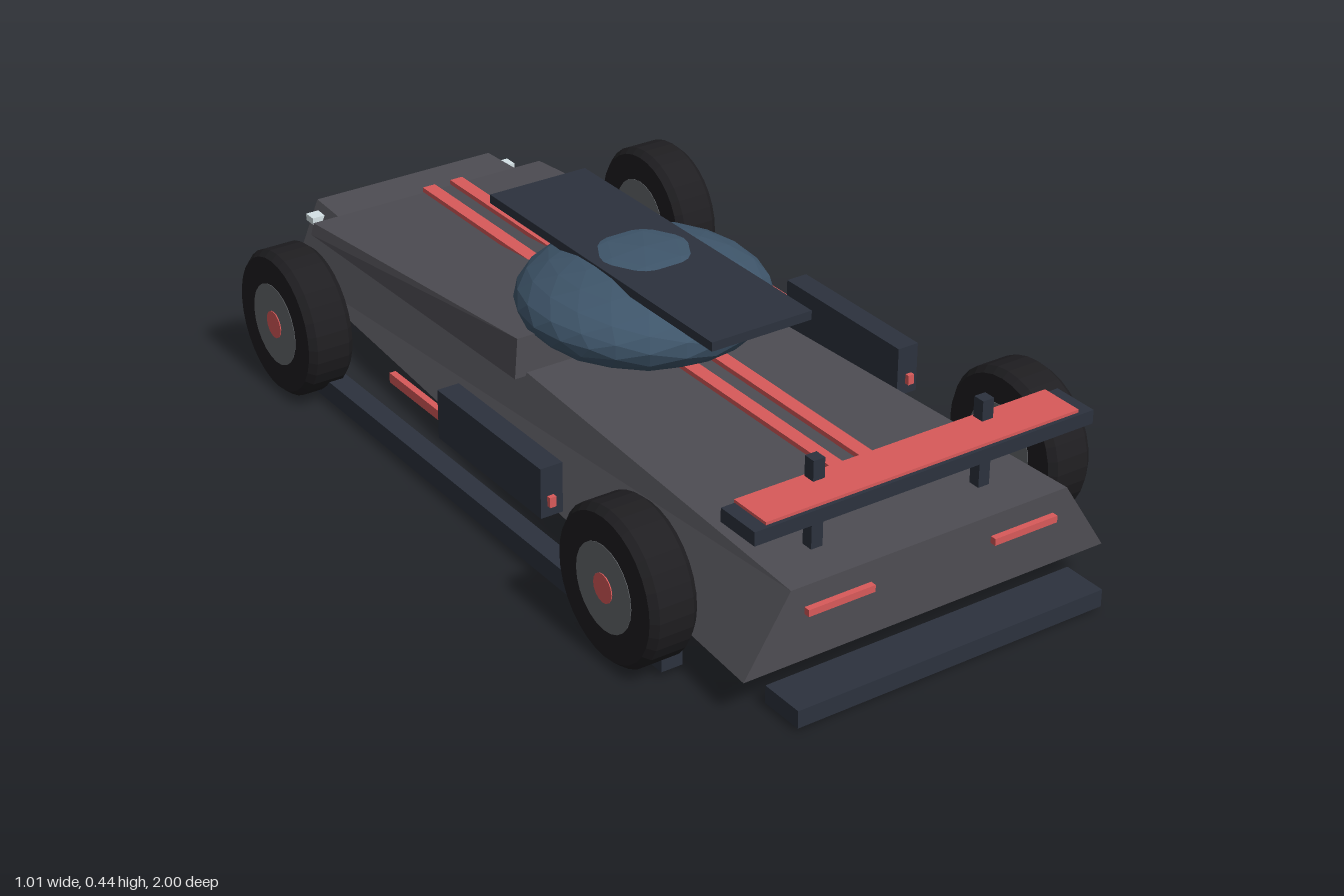
import * as THREE from 'three';

const mat = (color) => new THREE.MeshStandardMaterial({ color, flatShading: true });

export function createModel() {
  const car = new THREE.Group();
  const grey = mat(0x4e4d53), navy = mat(0x2c323e), red = mat(0xd85a5a);
  const rubber = mat(0x1f1e21), metal = mat(0x66696d), glass = mat(0x3f566b), white = mat(0xd5e2e6);

  const add = (name, geometry, material, parent = car) => {
    const mesh = new THREE.Mesh(geometry, material);
    mesh.name = name;
    parent.add(mesh);
    return mesh;
  };

  // Box given by its limits on each axis
  const box = (name, material, [x0, x1], [y0, y1], [z0, z1]) => {
    const g = new THREE.BoxGeometry(x1 - x0, y1 - y0, z1 - z0);
    g.translate((x0 + x1) / 2, (y0 + y1) / 2, (z0 + z1) / 2);
    return add(name, g, material);
  };

  // Same box on both sides of the car
  const pair = (name, material, [x0, x1], y, z) => {
    box(name + 'Left', material, [x0, x1], y, z);
    box(name + 'Right', material, [-x1, -x0], y, z);
  };

  // Box tapered between two end sections: { z, low, high, bottom, top }
  const tapered = (name, material, near, far) => {
    const g = new THREE.BoxGeometry(2, 2, 2);
    const p = g.attributes.position;
    for (let i = 0; i < p.count; i++) {
      const s = p.getZ(i) > 0 ? near : far;
      const up = p.getY(i) > 0;
      p.setXYZ(i, p.getX(i) * (up ? s.high : s.low), up ? s.top : s.bottom, s.z);
    }
    g.computeVertexNormals();
    return add(name, g, material);
  };

  // Body and raised deck
  tapered('body', grey,
    { z: 0.925, low: 0.407, high: 0.31, bottom: 0.085, top: 0.237 },
    { z: -0.905, low: 0.28, high: 0.216, bottom: 0.085, top: 0.237 });
  tapered('deck', grey,
    { z: 0.01, low: 0.29, high: 0.283, bottom: 0.23, top: 0.316 },
    { z: -0.8, low: 0.29, high: 0.283, bottom: 0.215, top: 0.24 });

  // Canopy with roof panel
  const canopy = add('canopy', new THREE.IcosahedronGeometry(1, 3), glass);
  canopy.scale.set(0.255, 0.103, 0.255);
  canopy.position.set(0, 0.339, 0.025);
  box('roofPanel', navy, [-0.114, 0.114], [0.415, 0.434], [-0.357, 0.413]);

  // Stripes along the top
  pair('topStripe', red, [0.019, 0.049], [0.275, 0.285], [-0.74, 0.69]);

  // Wing on two posts
  box('wing', navy, [-0.377, 0.377], [0.34, 0.368], [0.81, 0.908]);
  box('wingStripe', red, [-0.348, 0.348], [0.364, 0.374], [0.808, 0.9]);
  pair('wingPost', navy, [0.176, 0.201], [0.23, 0.415], [0.812, 0.837]);

  // Low splitters at both ends
  box('frontSplitter', navy, [-0.345, 0.345], [0.01, 0.046], [0.905, 1]);
  box('rearSplitter', navy, [-0.303, 0.303], [0.004, 0.031], [-1, -0.89]);

  // Side skirts, pods and stripes
  pair('sideSkirt', navy, [0.4, 0.445], [0.015, 0.06], [-0.6, 0.733]);
  pair('sidePod', navy, [0.392, 0.44], [0.13, 0.235], [-0.03, 0.335]);
  pair('sideStripe', red, [0.412, 0.426], [0.153, 0.174], [-0.24, 0.345]);

  // Light bars, lamps and winglets
  pair('lightBar', red, [0.135, 0.28], [0.18, 0.194], [0.91, 0.938]);
  pair('lamp', white, [0.222, 0.254], [0.205, 0.22], [-0.888, -0.858]);
  pair('winglet', red, [0.26, 0.428], [0.08, 0.088], [-0.785, -0.743]);

  // Wheels: tyre with softened shoulders, rim and cap
  const tyreProfile = [[0.001, -0.05], [0.143, -0.05], [0.155, -0.036], [0.155, 0.036], [0.143, 0.05], [0.001, 0.05]]
    .map(([r, y]) => new THREE.Vector2(r, y));
  const tyreGeometry = new THREE.LatheGeometry(tyreProfile, 32);
  const rimGeometry = new THREE.CylinderGeometry(0.087, 0.087, 0.102, 24);
  const capGeometry = new THREE.CylinderGeometry(0.029, 0.029, 0.106, 16);
  for (const [end, z] of [['front', 0.633], ['rear', -0.578]]) {
    for (const [side, s] of [['Left', 1], ['Right', -1]]) {
      const wheel = new THREE.Group();
      wheel.name = end + 'Wheel' + side;
      wheel.position.set(s * 0.45, 0.158, z);
      wheel.rotation.z = -s * Math.PI / 2;
      add('tyre', tyreGeometry, rubber, wheel);
      add('rim', rimGeometry, metal, wheel);
      add('hubCap', capGeometry, red, wheel);
      car.add(wheel);
    }
  }
  return car;
}
